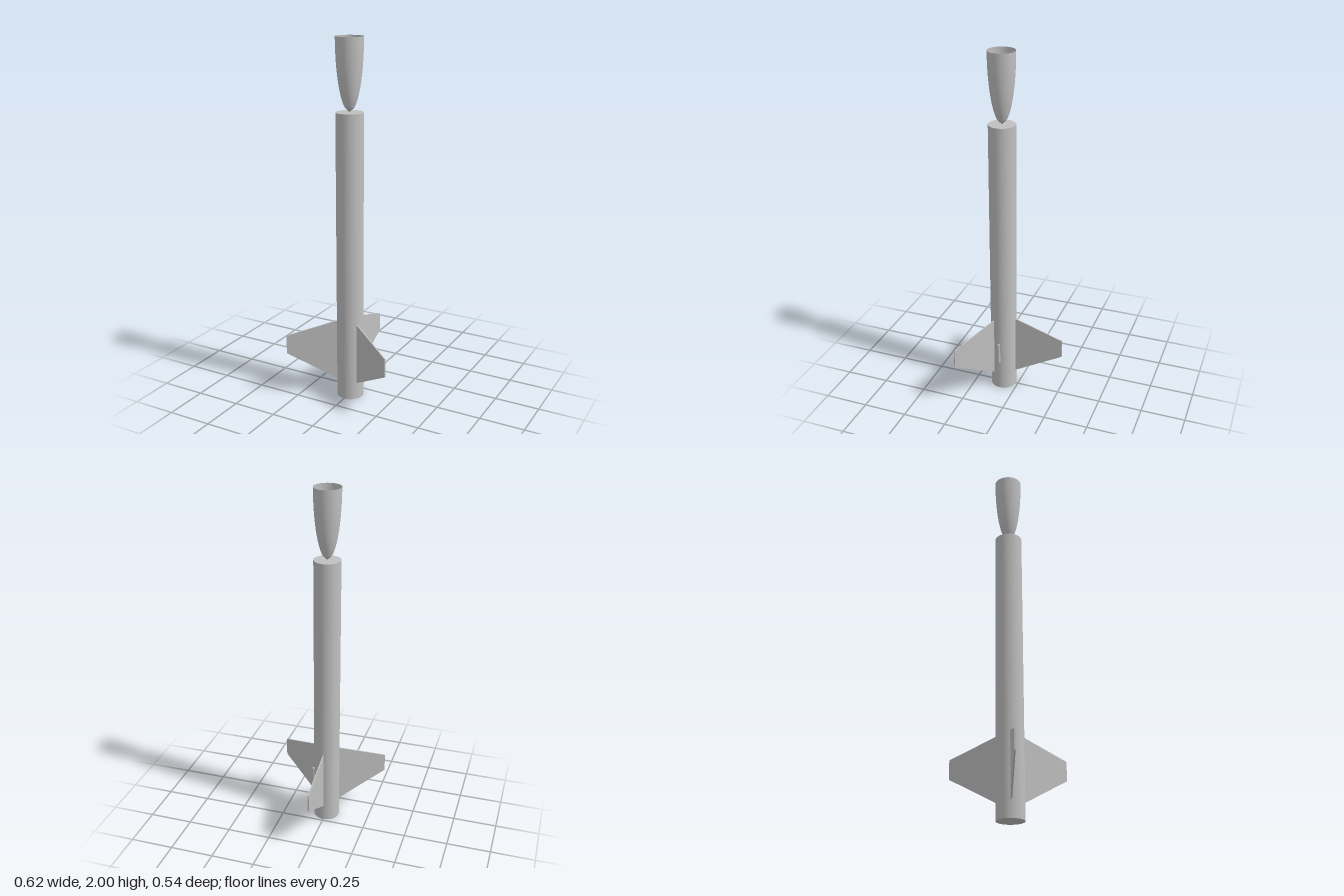
import * as THREE from 'three';

export function createModel() {
  const model = new THREE.Group();
  const plastic = new THREE.MeshStandardMaterial({ color: 0xc0c0c0, side: THREE.DoubleSide });
  plastic.name = 'light grey';

  const R = 0.074, BODY = 1.614, TOP = 2, AXIS_Z = 0.087;

  // everything is arranged around the body axis
  const rocket = new THREE.Group();
  rocket.name = 'rocket';
  rocket.position.z = AXIS_Z;
  model.add(rocket);

  const add = (name, geometry, x = 0, y = 0) => {
    const mesh = new THREE.Mesh(geometry, plastic);
    mesh.name = name;
    mesh.position.set(x, y, 0);
    rocket.add(mesh);
    return mesh;
  };

  // closed body tube
  add('bodyTube', new THREE.CylinderGeometry(R, R, BODY, 64), 0, BODY / 2);

  // hollow elliptical nose, tip down and open at the top
  const steps = 16;
  const profile = [];
  for (let i = 0; i <= steps; i++) {
    const t = i / steps;
    profile.push(new THREE.Vector2(R * Math.sqrt(1 - (1 - t) ** 2), BODY + (TOP - BODY) * t));
  }
  add('noseShell', new THREE.LatheGeometry(profile.slice(1), 64));
  add('noseTip', new THREE.LatheGeometry(profile.slice(0, 2), 64));

  // three swept fins
  const thickness = 0.007;
  const finShape = new THREE.Shape([
    new THREE.Vector2(R - 0.002, 0.095),
    new THREE.Vector2(0.356, 0.255),
    new THREE.Vector2(0.356, 0.36),
    new THREE.Vector2(R - 0.002, 0.45),
  ]);
  const finGeometry = new THREE.ExtrudeGeometry(finShape, { depth: thickness, bevelEnabled: false });
  finGeometry.translate(0, 0, -thickness / 2);
  ['finBack', 'finRight', 'finLeft'].forEach((name, i) => {
    add(name, finGeometry).rotation.y = Math.PI / 2 + (i * Math.PI * 2) / 3;
  });

  // launch lug on the left side
  add('launchLug', new THREE.CylinderGeometry(0.008, 0.008, 0.12, 24), R + 0.007, 0.243);

  return model;
}
